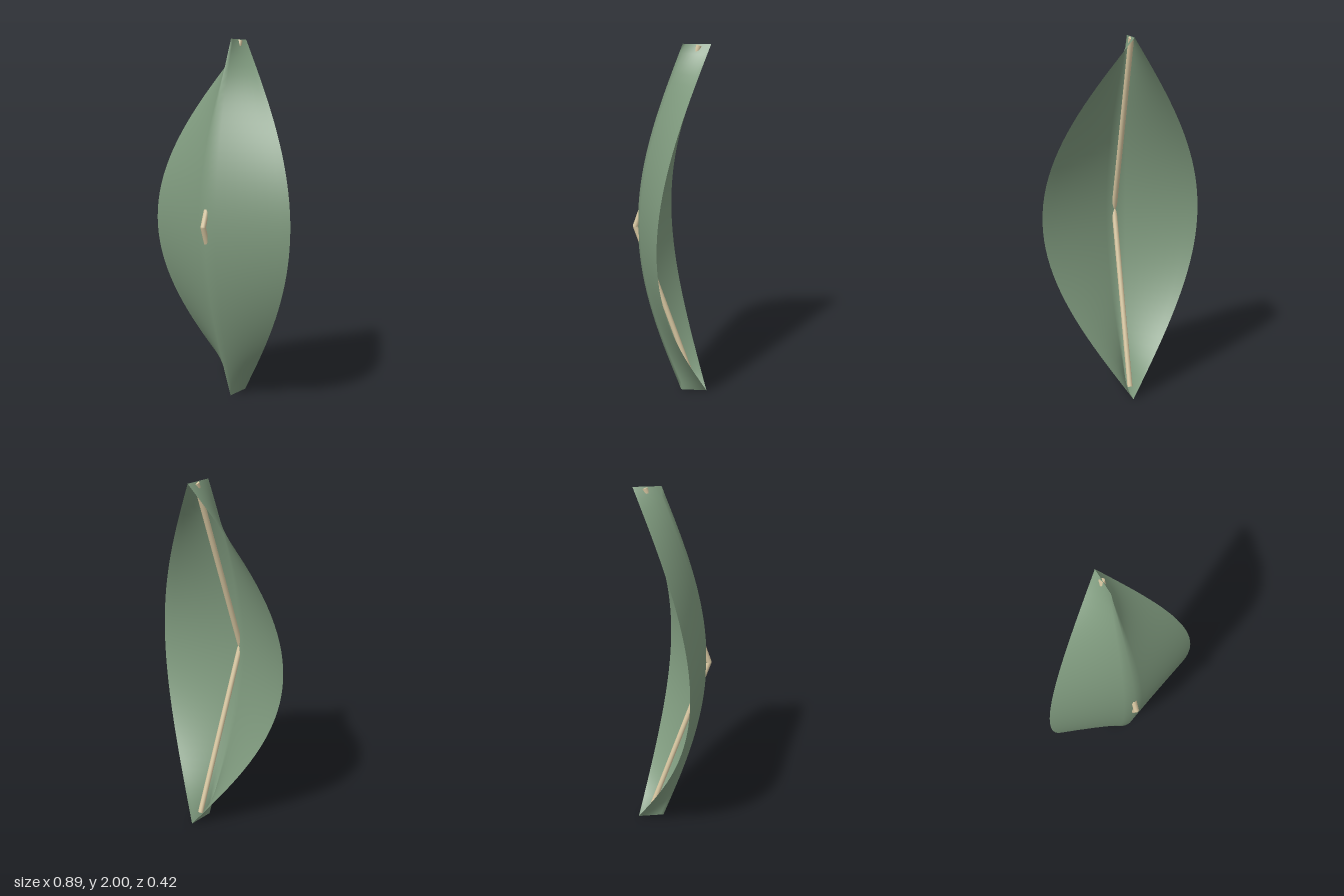
import * as THREE from 'three';

const leafMaterial = new THREE.MeshStandardMaterial({ color: 0x7f9a7e, side: THREE.DoubleSide });
const stemMaterial = new THREE.MeshStandardMaterial({ color: 0xd9c8a2 });

// Bowed leaf: V-folded across, arched and tapered along its height
function makeBlade() {
  const geometry = new THREE.PlaneGeometry(2, 2, 16, 40);
  const p = geometry.attributes.position;
  for (let i = 0; i < p.count; i++) {
    const u = p.getX(i);
    const y = p.getY(i) + 1;
    const arch = Math.sin((Math.PI * y) / 2);
    p.setXYZ(i, 0.445 * u * arch, y, -0.06 + 0.243 * arch - 0.147 * Math.abs(u));
  }
  geometry.computeVertexNormals();
  const blade = new THREE.Mesh(geometry, leafMaterial);
  blade.name = 'leafBlade';
  return blade;
}

// Straight rod between two points
function makeRod(name, a, b, radius) {
  const rod = new THREE.Mesh(new THREE.CylinderGeometry(radius, radius, a.distanceTo(b), 12), stemMaterial);
  rod.position.lerpVectors(a, b, 0.5);
  rod.quaternion.setFromUnitVectors(new THREE.Vector3(0, 1, 0), b.clone().sub(a).normalize());
  rod.name = name;
  return rod;
}

export function createModel() {
  const model = new THREE.Group();
  model.name = 'leaf';
  model.add(makeBlade());

  // Bent stem behind the blade, its elbow poking through the ridge
  const radius = 0.015;
  const bottom = new THREE.Vector3(0, 0.045, -0.135);
  const elbow = new THREE.Vector3(0, 1, 0.197);
  const top = new THREE.Vector3(0, 1.993, -0.145);
  const stem = new THREE.Group();
  stem.name = 'stem';
  stem.add(makeRod('lowerStem', bottom, elbow, radius), makeRod('upperStem', elbow, top, radius));
  const joint = new THREE.Mesh(new THREE.SphereGeometry(radius, 12, 8), stemMaterial);
  joint.position.copy(elbow);
  joint.name = 'stemElbow';
  stem.add(joint);
  model.add(stem);
  return model;
}
